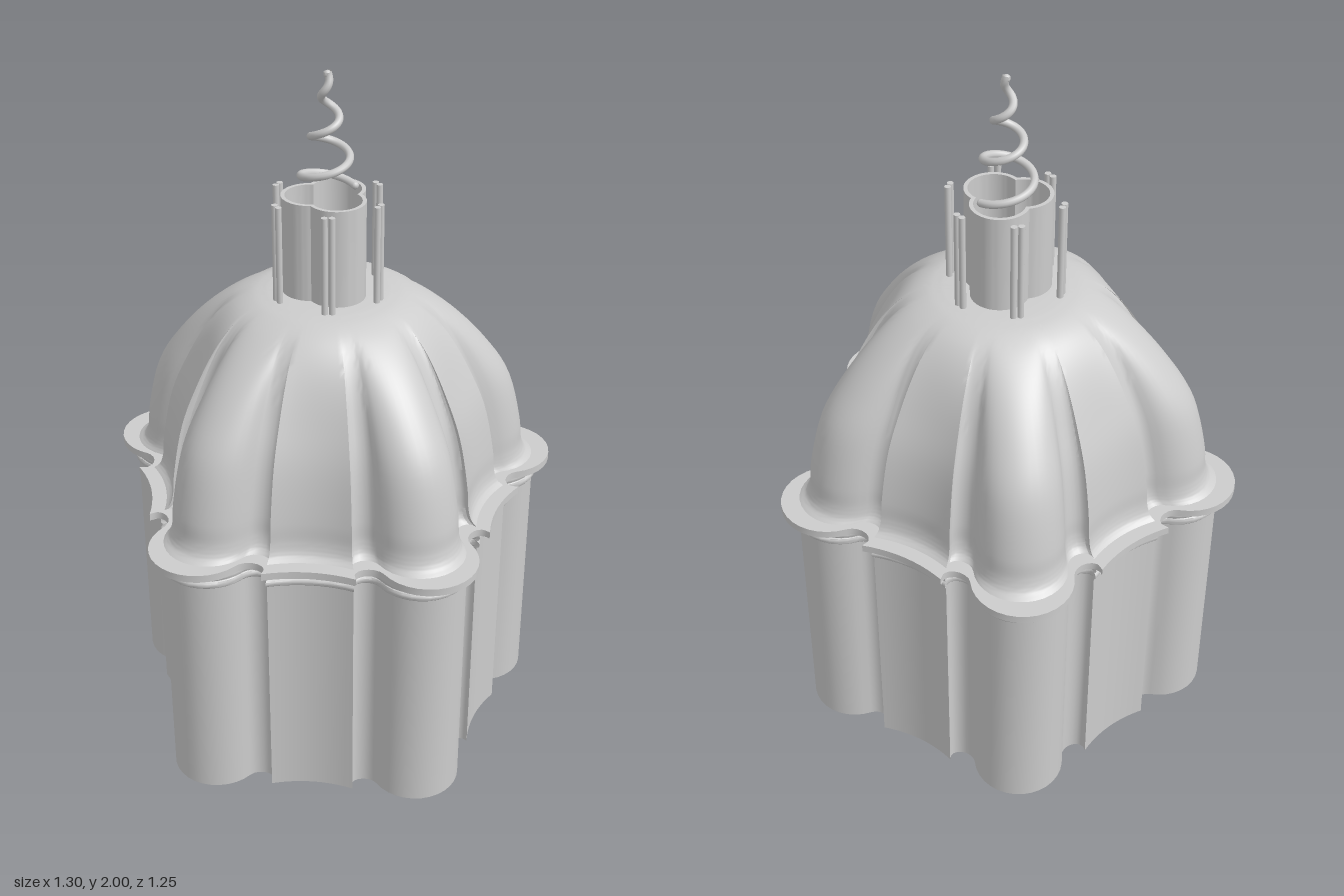
import * as THREE from 'three';
import { toCreasedNormals } from 'three/addons/utils/BufferGeometryUtils.js';

const STEP = Math.PI * 2 / 5;
const stone = new THREE.MeshStandardMaterial({ color: 0xcccccc, side: THREE.DoubleSide });
stone.name = 'pale grey stone';

// Point at tangential offset t and radius r in the frame of lobe k
function place(t, r, k) {
  const a = k * STEP, s = Math.sin(a), c = Math.cos(a);
  return new THREE.Vector2(r * s + t * c, r * c - t * s);
}

// Five round lobes joined by scooped notches and slightly concave sides
function lobedOutline() {
  const pts = [], edge = [0.218, 0.517];
  for (let k = 0; k < 5; k++) {
    for (let i = 0; i <= 16; i++) {
      const f = -Math.PI / 2 + Math.PI * i / 16;
      pts.push(place(0.14 * Math.sin(f), 0.535 + 0.14 * Math.cos(f), k));
    }
    const notch = (f, side, n) => place(
      side * (0.179 - 0.039 * Math.cos(f)),
      0.526 + 0.009 * Math.cos(f) - 0.036 * Math.sin(f), n);
    for (let i = 1; i <= 8; i++) pts.push(notch(Math.PI * i / 8, 1, k));
    const a = place(edge[0], edge[1], k), b = place(-edge[0], edge[1], k + 1);
    const inward = a.clone().add(b).normalize().negate();
    for (let i = 1; i <= 10; i++) {
      const u = i / 10;
      pts.push(a.clone().lerp(b, u).addScaledVector(inward, 0.08 * u * (1 - u)));
    }
    for (let i = 7; i > 0; i--) pts.push(notch(Math.PI * i / 8, -1, k + 1));
  }
  return pts;
}

// Skin between rings; each row is [height, scale, roundness]
function loft(outline, rows, crease = 0.6) {
  const pos = [], index = [], n = outline.length;
  rows.forEach(([y, s, round = 0]) => outline.forEach(p => {
    const m = s * THREE.MathUtils.lerp(1, 0.62 / p.length(), round);
    pos.push(p.x * m, y, p.y * m);
  }));
  for (let i = 0; i < rows.length - 1; i++) for (let j = 0; j < n; j++) {
    const a = i * n + j, b = i * n + (j + 1) % n;
    index.push(a, b, b + n, a, b + n, a + n);
  }
  const g = new THREE.BufferGeometry();
  g.setAttribute('position', new THREE.Float32BufferAttribute(pos, 3));
  g.setIndex(index);
  return toCreasedNormals(g, crease);
}

// Half-round moulding rows
function bead(y0, y1, s, out) {
  return Array.from({ length: 7 }, (_, i) => {
    const f = Math.PI * i / 6;
    return [(y0 + y1) / 2 - (y1 - y0) / 2 * Math.cos(f), s + out * Math.sin(f)];
  });
}

// Three overlapping circles, traced around their outside
function trefoil(radius) {
  const c = 0.048, pts = [];
  for (let i = 0; i < 96; i++) {
    const a = i / 96 * Math.PI * 2;
    const third = Math.PI * 2 / 3;
    const d = a - Math.round(a / third) * third;
    const r = c * Math.cos(d) + Math.sqrt(radius * radius - (c * Math.sin(d)) ** 2);
    pts.push(new THREE.Vector2(r * Math.sin(a), r * Math.cos(a)));
  }
  return pts;
}

class Spiral extends THREE.Curve {
  getPoint(t, target = new THREE.Vector3()) {
    const a = t * Math.PI * 6, r = 0.085 * (1 - t);
    return target.set(r * Math.cos(a), 1.663 + 0.333 * t, -r * Math.sin(a));
  }
}

export function createModel() {
  const group = new THREE.Group();
  const body = new THREE.Group();
  body.name = 'domedChapel';
  body.position.z = -0.05;
  group.add(body);

  const add = (name, geometry, parent = body) => {
    const mesh = new THREE.Mesh(geometry, stone);
    mesh.name = name;
    parent.add(mesh);
    return mesh;
  };

  const outline = lobedOutline();

  // Drum wall, open below
  add('drumWall', loft(outline, [[0, 0.928], [0.72, 0.928]]));

  // Cornice: two beads under a projecting slab
  add('cornice', loft(outline, [
    ...bead(0.715, 0.737, 0.928, 0.016),
    ...bead(0.739, 0.762, 0.928, 0.016),
    [0.762, 1], [0.784, 1], [0.784, 0.91],
  ]));

  // Dome: lobes fade into a round crown
  const profile = new THREE.CatmullRomCurve3([
    [0.784, 0.92], [0.8, 0.888], [0.83, 0.87], [0.89, 0.86], [1.05, 0.8],
    [1.165, 0.7], [1.27, 0.57], [1.335, 0.45], [1.365, 0.35], [1.375, 0.27],
  ].map(([y, s]) => new THREE.Vector3(s, y, 0)));
  const rows = profile.getPoints(45).map(p =>
    [p.y, p.x, 1 - THREE.MathUtils.smoothstep(p.x, 0.32, 0.82)]);
  rows.push([1.375, 0.145, 1]);
  add('dome', loft(outline, rows, 0.5));

  // Lantern: hollow trefoil tube
  const outer = trefoil(0.08), inner = trefoil(0.069);
  add('lanternOuterWall', loft(outer, [[1.37, 1], [1.655, 1]]));
  add('lanternInnerWall', loft(inner, [[1.37, 1], [1.655, 1]]));
  const rim = new THREE.Shape(outer);
  rim.holes.push(new THREE.Path(inner));
  const rimGeometry = new THREE.ShapeGeometry(rim);
  rimGeometry.rotateX(Math.PI / 2);
  add('lanternRim', rimGeometry).position.y = 1.655;

  // Paired slim columns around the lantern
  for (let i = 0; i < 6; i++) {
    const pair = new THREE.Group();
    pair.name = 'lanternColumnPair';
    pair.rotation.y = i * Math.PI / 3;
    body.add(pair);
    for (const side of [-1, 1]) {
      add('lanternColumn', new THREE.CylinderGeometry(0.009, 0.009, 0.285, 14), pair)
        .position.set(0.158, 1.512, side * 0.01);
    }
  }

  // Coiled spire
  add('spiralSpire', new THREE.TubeGeometry(new Spiral(), 160, 0.011, 10));
  for (const t of [0, 1]) {
    add('spireEnd', new THREE.SphereGeometry(0.011, 10, 8))
      .position.copy(new Spiral().getPoint(t)).setY(t ? 1.989 : 1.663);
  }

  // Interior columns flanking each lobe
  for (let k = 0; k < 5; k++) for (const side of [-1, 1]) {
    const column = new THREE.Group();
    column.name = 'interiorColumn';
    const p = place(side * 0.165, 0.425, k);
    column.position.set(p.x, 0, p.y);
    column.rotation.y = k * STEP;
    body.add(column);
    add('shaft', new THREE.CylinderGeometry(0.012, 0.012, 0.7, 14), column).position.y = 0.37;
    add('base', new THREE.BoxGeometry(0.04, 0.025, 0.04), column).position.y = 0.0125;
    add('capital', new THREE.BoxGeometry(0.04, 0.025, 0.04), column).position.y = 0.725;
  }

  return group;
}
